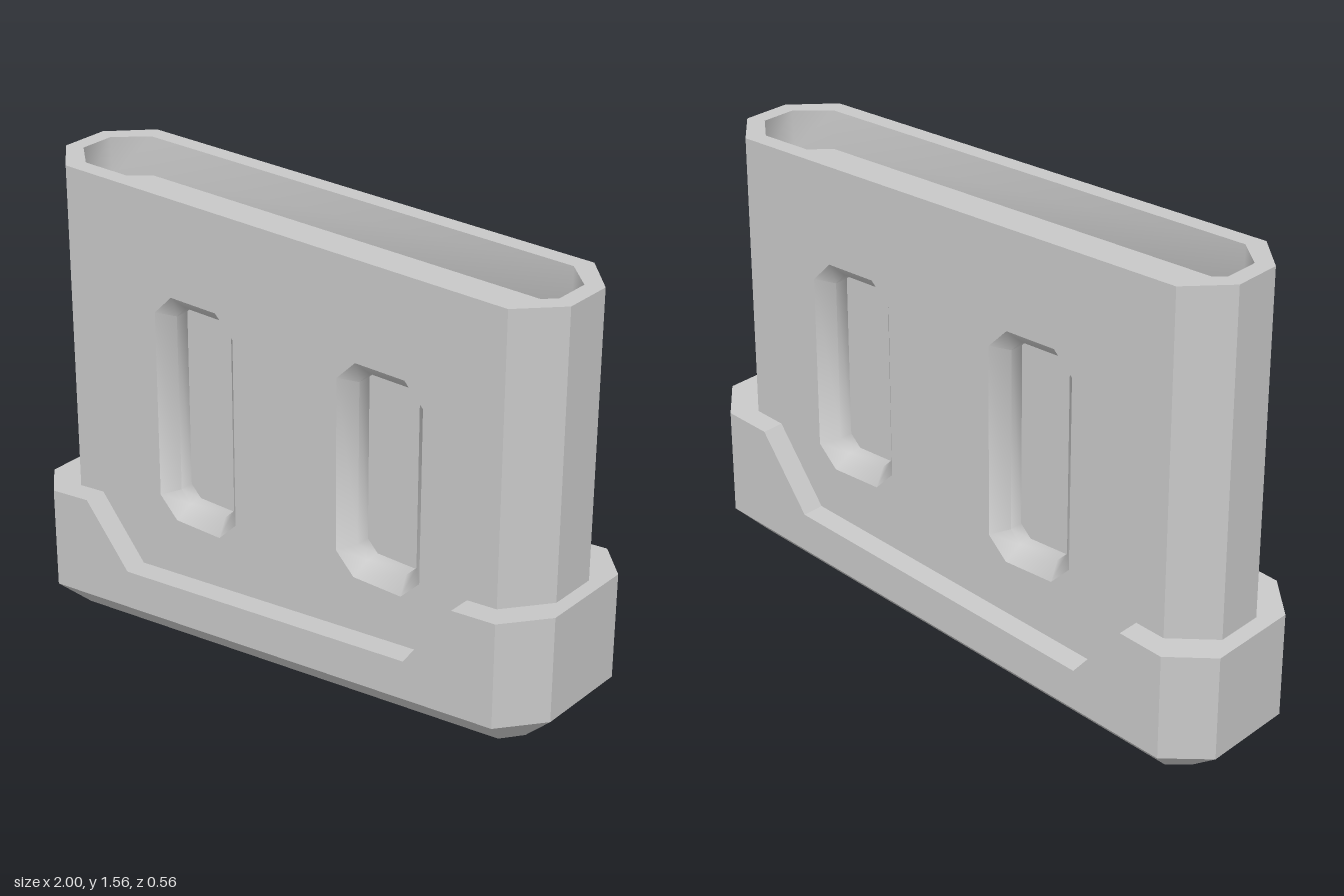
import * as THREE from 'three';
import { toCreasedNormals } from 'three/addons/utils/BufferGeometryUtils.js';

const grey = new THREE.MeshStandardMaterial({ color: 0xc8c8c8 });
grey.name = 'light grey';

// Flat-shaded skin through a list of closed rings of [x, y, z]; skip leaves out ring segments
function loft(rings, skip = []) {
  const pos = [];
  const same = (a, b) => a.every((v, k) => v === b[k]);
  const tri = (a, b, c) => {
    if (!same(a, b) && !same(b, c) && !same(a, c)) pos.push(...a, ...b, ...c);
  };
  for (let r = 0; r + 1 < rings.length; r++) {
    const a = rings[r], b = rings[r + 1], n = a.length;
    for (let i = 0; i < n; i++) {
      if (skip.includes(i)) continue;
      const j = (i + 1) % n;
      tri(a[i], a[j], b[j]);
      tri(a[i], b[j], b[i]);
    }
  }
  const g = new THREE.BufferGeometry();
  g.setAttribute('position', new THREE.Float32BufferAttribute(pos, 3));
  g.computeVertexNormals();
  return g;
}

// Same skin with softened corners, sharp only at steep edges
const softLoft = (rings) => toCreasedNormals(loft(rings), Math.PI / 3);

function mesh(geometry, name) {
  const m = new THREE.Mesh(geometry, grey);
  m.name = name;
  return m;
}

// Front outline stations [x, z], continued along the mirrored back
const around = (front) => [...front, ...[...front].reverse().map(([x, z]) => [x, -z])];
const ring = (plan, height) => plan.map(([x, z]) => [x, height(x), z]);
const point = (plan, y) => plan.map(() => [0, y, 0]);
const octagon = (x1, x2, z1, z2) => around([[-x1, z1], [-x2, z2], [x2, z2], [x1, z1]]);

// Rectangle with chamfered corners, counter-clockwise from the front
const chamfered = (x0, x1, y0, y1, c) => [
  [x0 + c, y0], [x1 - c, y0], [x1, y0 + c], [x1, y1 - c],
  [x1 - c, y1], [x0 + c, y1], [x0, y1 - c], [x0, y0 + c],
];

const TOP = 1.56, BASE = 0.255, HALF = 0.204, LIP = 0.157, FLOOR = 0.11;

// Broad face with two bevelled pockets; side is 1 for the front, -1 for the back
function createFace(side) {
  const face = new THREE.Group();
  const panel = new THREE.Shape([[-0.83, BASE], [0.83, BASE], [0.83, TOP], [-0.83, TOP]]
    .map((p) => new THREE.Vector2(...p)));
  for (const [x, y0] of [[-0.318, 0.475], [0.395, 0.535]]) {
    const cx = x * side;
    const outer = chamfered(cx - 0.157, cx + 0.157, y0, 1.24, 0.068);
    const inner = chamfered(cx - 0.11, cx + 0.11, y0 + 0.046, 1.194, 0.038);
    panel.holes.push(new THREE.Path(outer.map((p) => new THREE.Vector2(...p))));
    face.add(mesh(softLoft([
      outer.map(([px, py]) => [px, py, HALF]),
      inner.map(([px, py]) => [px, py, LIP]),
      inner.map(([px, py]) => [px, py, FLOOR]),
      inner.map(() => [cx, 0.87, FLOOR]),
    ]), 'recessedPocket'));
  }
  const sheet = new THREE.ShapeGeometry(panel);
  sheet.translate(0, 0, HALF);
  face.add(mesh(sheet, 'facePanel'));
  if (side < 0) face.rotation.y = Math.PI;
  face.name = side > 0 ? 'frontFace' : 'backFace';
  return face;
}

export function createModel() {
  const model = new THREE.Group();
  model.name = 'chamferedSleeve';

  // Upright body: end walls, then rim and shallow cavity in the top
  const body = octagon(0.95, 0.83, 0.082, HALF);
  const cavity = octagon(0.895, 0.8, 0.06, 0.147);
  model.add(mesh(loft([ring(body, () => BASE), ring(body, () => TOP)], [1, 5]), 'bodyEnds'));
  model.add(mesh(softLoft([
    ring(body, () => TOP),
    ring(cavity, () => TOP),
    ring(cavity, () => 1.43),
    point(cavity, 1.43),
  ]), 'topRimAndCavity'));
  model.add(createFace(1), createFace(-1));

  // Sloping collar with a notched upper edge and a bevelled base
  const notch = [[-1, 0.436], [-0.73, 0.466], [-0.56, 0.265], [0.555, 0.376], [0.725, 0.615], [1, 0.641]];
  const upper = (x) => {
    const i = Math.max(1, notch.findIndex(([nx]) => x <= nx));
    const [xa, ya] = notch[i - 1], [xb, yb] = notch[i];
    return ya + (yb - ya) * (x - xa) / (xb - xa);
  };
  const steps = notch.slice(1, -1).map(([x]) => x);
  const collarPlan = (x1, x2, z1, z2, k = 1) => around([
    [-x1, z1], [-x2, z2], ...steps.map((x) => [x * k, z2]), [x2, z2], [x1, z1],
  ]);
  const outer = collarPlan(1, 0.88, 0.158, 0.28);
  const sole = collarPlan(0.89, 0.835, 0.12, 0.18, 0.95);
  const inner = collarPlan(0.95, 0.83, 0.082, HALF);
  model.add(mesh(loft([
    point(sole, 0.09),
    ring(sole, (x) => 0.09 + 0.101 * x),
    ring(outer, (x) => 0.19 + 0.101 * x),
    ring(outer, upper),
    ring(inner, upper),
  ]), 'baseCollar'));

  return model;
}
